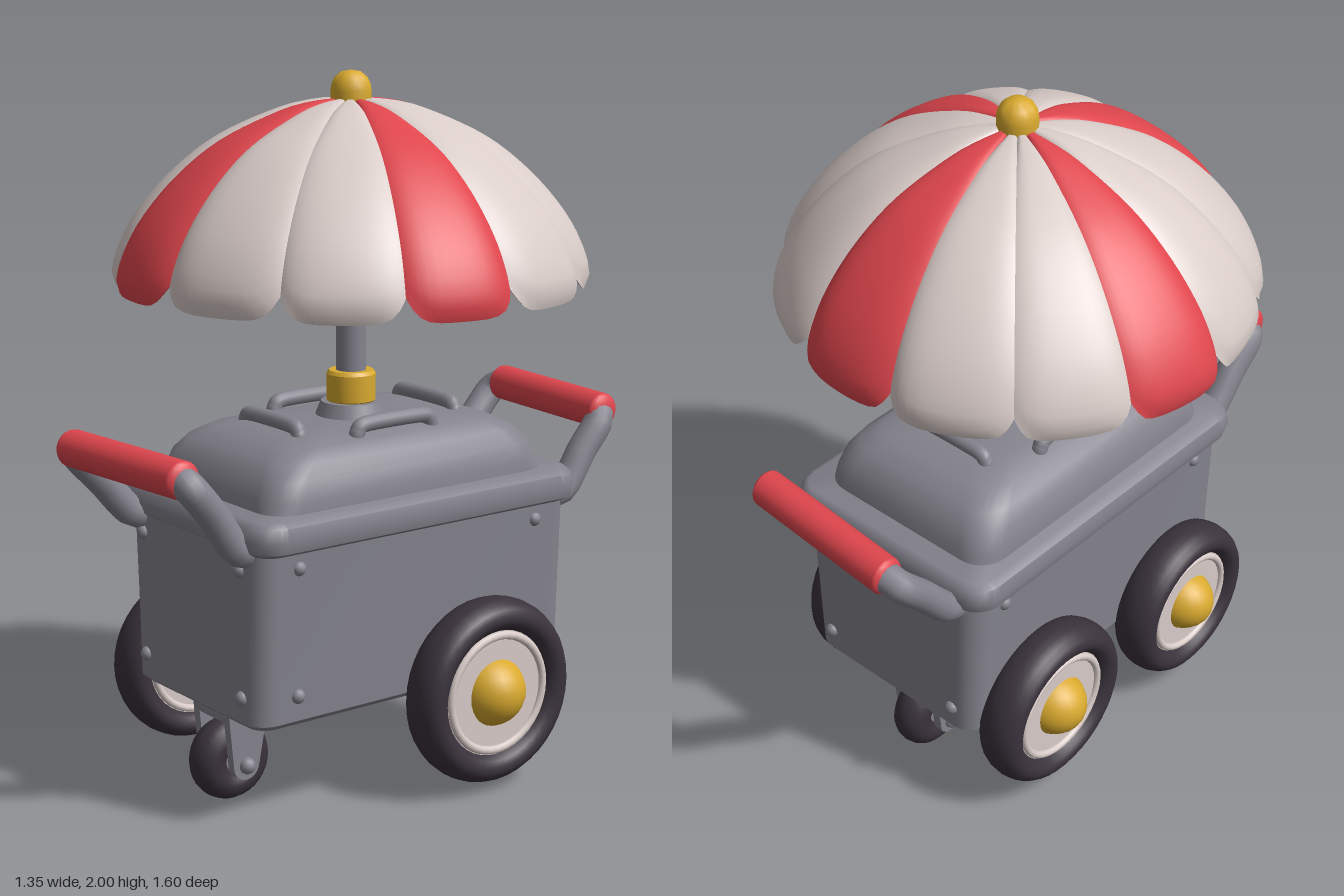
import * as THREE from 'three';
import { toCreasedNormals } from 'three/addons/utils/BufferGeometryUtils.js';
import { ParametricGeometry } from 'three/addons/geometries/ParametricGeometry.js';

const paint = (name, color) => {
  const m = new THREE.MeshStandardMaterial({ color });
  m.name = name;
  return m;
};

// Closed solid lofted through rounded rectangles [y, halfX, halfZ, cornerRadius]
function loft(sections) {
  const steps = 6, pos = [], idx = [];
  const first = sections[0], last = sections[sections.length - 1];
  const rings = [[first[0], 0.002, 0.002, 0.001], ...sections, [last[0], 0.002, 0.002, 0.001]];
  for (const [y, hx, hz, r] of rings) {
    for (let q = 0; q < 4; q++) {
      const sx = q === 0 || q === 3 ? 1 : -1, sz = q < 2 ? 1 : -1;
      for (let k = 0; k <= steps; k++) {
        const a = (q + k / steps) * Math.PI / 2;
        pos.push(sx * (hx - r) + r * Math.cos(a), y, sz * (hz - r) + r * Math.sin(a));
      }
    }
  }
  const n = 4 * (steps + 1);
  for (let i = 0; i < rings.length - 1; i++) {
    for (let j = 0; j < n; j++) {
      const k = (j + 1) % n, a = i * n + j, b = i * n + k, c = a + n, d = b + n;
      idx.push(a, c, b, b, c, d);
    }
  }
  const g = new THREE.BufferGeometry();
  g.setAttribute('position', new THREE.Float32BufferAttribute(pos, 3));
  g.setIndex(idx);
  return toCreasedNormals(g, 0.7);
}

export function createModel() {
  const root = new THREE.Group();
  root.name = 'umbrellaCart';
  const grey = paint('grey metal', 0x85848e);
  const red = paint('red', 0xdf464d);
  const white = paint('warm white', 0xd9ccc8);
  const gold = paint('gold', 0xd9aa2f);
  const rubber = paint('dark rubber', 0x3a323c);
  const lining = paint('mauve lining', 0xac8c95);

  const add = (parent, name, geo, mat, x = 0, y = 0, z = 0) => {
    const m = new THREE.Mesh(geo, mat);
    m.name = name;
    m.position.set(x, y, z);
    parent.add(m);
    return m;
  };
  const group = (name, x = 0, y = 0, z = 0) => {
    const g = new THREE.Group();
    g.name = name;
    g.position.set(x, y, z);
    root.add(g);
    return g;
  };
  const tube = (pts, r) => new THREE.TubeGeometry(
    new THREE.CatmullRomCurve3(pts.map(p => new THREE.Vector3(...p)), false, 'catmullrom', 0.4), 48, r, 14);
  const lathe = pts => toCreasedNormals(new THREE.LatheGeometry(pts.map(p => new THREE.Vector2(...p)), 28), 0.6);

  // Box, rim and domed lid
  add(root, 'body', loft([
    [0.3, 0.293, 0.522, 0.05], [0.315, 0.308, 0.54, 0.065], [0.55, 0.315, 0.542, 0.068], [0.8, 0.323, 0.545, 0.07]]), grey);
  add(root, 'rim', loft([
    [0.785, 0.335, 0.535, 0.06], [0.797, 0.357, 0.553, 0.08], [0.83, 0.366, 0.562, 0.085],
    [0.865, 0.357, 0.553, 0.08], [0.88, 0.335, 0.535, 0.06]]), grey);
  add(root, 'lid', loft([
    [0.87, 0.305, 0.478, 0.08], [0.91, 0.303, 0.47, 0.09], [0.96, 0.29, 0.45, 0.09], [1.0, 0.265, 0.415, 0.09],
    [1.03, 0.225, 0.36, 0.09], [1.047, 0.16, 0.28, 0.08]]), grey);

  // Rivets near the panel corners
  const rivet = new THREE.SphereGeometry(0.021, 12, 8);
  for (const s of [-1, 1]) for (const t of [-1, 1]) for (const y of [0.385, 0.74]) {
    const out = (y - 0.3) * 0.02;
    add(root, 'endRivet', rivet, grey, t * 0.235, y, s * (0.537 + out * 0.4));
    add(root, 'sideRivet', rivet, grey, s * (0.306 + out), y, t * 0.41);
  }

  // Four small lid handles
  for (let i = 0; i < 4; i++) {
    const d = i % 2 === 0 ? 0.195 : 0.27;
    const h = add(root, 'lidHandle', tube([
      [-0.13, 1.01, d], [-0.125, 1.045, d], [-0.095, 1.064, d], [0.095, 1.064, d], [0.125, 1.045, d], [0.13, 1.01, d]], 0.022), grey);
    h.rotation.y = (i + 1) * Math.PI / 2;
  }

  // Push handles at both ends, each slightly skewed
  for (const s of [1, -1]) {
    const g = group(s > 0 ? 'frontHandle' : 'backHandle');
    const L = -0.255, R = s > 0 ? 0.25 : 0.27, top = 1.005;
    add(g, 'handleFrame', tube([
      [L, 0.79, s * 0.48], [L, 0.8, s * 0.57], [L, 0.9, s * 0.66], [L, 0.98, s * 0.735], [L + 0.05, top, s * 0.75],
      [0, top, s * 0.73], [R - 0.05, top, s * 0.71], [R, 0.98, s * 0.695], [R, 0.9, s * 0.63],
      [R, 0.8, s * 0.56], [R, 0.79, s * 0.48]], 0.043), grey);
    const ends = s > 0 ? [-0.25, 0.225] : [-0.215, 0.265];
    add(g, 'grip', new THREE.TubeGeometry(new THREE.LineCurve3(
      new THREE.Vector3(ends[0], top, s * 0.75), new THREE.Vector3(ends[1], top, s * 0.71)), 1, 0.052, 20), red);
    ends.forEach((x, i) => {
      add(g, 'gripEnd', new THREE.SphereGeometry(0.052, 16, 12), red, x, top, s * (0.75 - 0.04 * i)).scale.x = 0.45;
    });
  }

  // Large wheels: one on the left, two on the right
  for (const [x, y, z, r] of [[0.37, 0.293, -0.2, 0.267], [-0.365, 0.302, 0.312, 0.243], [-0.365, 0.305, -0.272, 0.252]]) {
    const g = group('wheel', x, y, z);
    g.rotation.y = Math.PI / 2;
    g.scale.set(r / 0.265, r / 0.265, 1);
    add(g, 'tire', new THREE.TorusGeometry(0.217, 0.048, 18, 40), rubber).scale.z = 1.46;
    add(g, 'rimDisc', new THREE.CylinderGeometry(0.188, 0.188, 0.084, 36), white).rotation.x = Math.PI / 2;
    for (const s of [-1, 1])
      add(g, 'rimRing', new THREE.TorusGeometry(0.165, 0.012, 10, 36), white, 0, 0, s * 0.042);
    add(g, 'hub', new THREE.SphereGeometry(0.102, 24, 16), gold).scale.z = 1.12;
  }

  // Casters under the front and back
  const side = new THREE.Shape();
  side.moveTo(-0.075, 0.165);
  side.lineTo(-0.042, -0.005);
  side.absarc(0, 0, 0.042, Math.PI, Math.PI * 2, false);
  side.lineTo(0.058, 0.165);
  const plate = new THREE.ExtrudeGeometry(side, { depth: 0.028, bevelEnabled: false, curveSegments: 10 });
  plate.translate(0, 0, -0.014);
  plate.rotateY(-Math.PI / 2);
  for (const s of [1, -1]) {
    const g = group(s > 0 ? 'frontCaster' : 'backCaster', 0, 0.125, s > 0 ? 0.427 : -0.392);
    if (s < 0) g.rotation.y = Math.PI;
    const t = add(g, 'casterTire', new THREE.TorusGeometry(0.07, 0.05, 16, 32), rubber);
    t.rotation.y = Math.PI / 2;
    t.scale.z = 1.15;
    add(g, 'casterHub', new THREE.CylinderGeometry(0.04, 0.04, 0.08, 20), grey).rotation.z = Math.PI / 2;
    for (const x of [-0.075, 0.075]) {
      add(g, 'forkSide', plate, grey, x);
      add(g, 'axleNut', new THREE.SphereGeometry(0.024, 12, 8), grey, x * 1.22);
    }
    add(g, 'forkTop', loft([[0.13, 0.075, 0.066, 0.02], [0.148, 0.09, 0.07, 0.03], [0.17, 0.075, 0.063, 0.02]]), grey, 0, 0, -0.008);
    add(g, 'casterStem', new THREE.CylinderGeometry(0.04, 0.04, 0.04, 18), grey, 0, 0.175, 0);
  }

  // Pole with collars
  add(root, 'pole', new THREE.CylinderGeometry(0.042, 0.042, 0.87, 24), grey, 0, 1.465, 0);
  add(root, 'poleBase', new THREE.CylinderGeometry(0.085, 0.105, 0.05, 28), grey, 0, 1.06, 0);
  add(root, 'lowerCollar', lathe([[0.04, 1.08], [0.062, 1.08], [0.069, 1.088], [0.069, 1.162], [0.062, 1.172], [0.04, 1.172]]), gold);
  add(root, 'upperCollar', new THREE.CylinderGeometry(0.047, 0.047, 0.26, 24), gold, 0, 1.715, 0);

  // Rounded finial
  add(root, 'finial', lathe([[0.04, 1.9], [0.055, 1.91], [0.056, 1.945], [0.053, 1.963], [0.044, 1.981], [0.027, 1.995], [0, 2]]), gold);

  // Canopy of twelve uneven, puffed panels: seam angles, seam radii and mid-panel radii
  const seams = [-2, 25, 53, 84, 115.5, 149, 176.5, 203, 229, 258, 288, 326, 358];
  const seamR = [0.65, 0.66, 0.65, 0.645, 0.63, 0.635, 0.65, 0.665, 0.665, 0.645, 0.625, 0.625, 0.65];
  const midR = [0.68, 0.672, 0.665, 0.665, 0.66, 0.662, 0.68, 0.68, 0.675, 0.66, 0.655, 0.665];
  const rimR = 0.674;
  const profile = new THREE.SplineCurve([[0.02, 1.925], [0.1, 1.92], [0.2, 1.897], [0.37, 1.822], [0.5, 1.725], [0.6, 1.615],
    [0.655, 1.52], [rimR, 1.45], [0.662, 1.415]].map(p => new THREE.Vector2(...p)));
  const canopy = group('canopy');
  const point = new THREE.Vector2();
  const panel = (i, flip, vOf, insetOf, spread = 1) => {
    const mid = THREE.MathUtils.degToRad((seams[i] + seams[i + 1]) / 2);
    const half = THREE.MathUtils.degToRad((seams[i + 1] - seams[i]) / 2);
    const g = new ParametricGeometry((u, v, out) => {
      const s = Math.sin((u - 0.5) * Math.PI) * flip * spread;
      const t = vOf(v), inset = insetOf(v);
      profile.getPointAt(t * (1 - 0.085 * t * Math.pow(Math.abs(s), 5)), point);
      const a = mid + s * half;
      const edge = THREE.MathUtils.lerp(midR[i], seamR[s > 0 ? i + 1 : i], s ** 4) / rimR;
      const k = 1 + (edge - 1) * t - inset;
      out.set(Math.cos(a) * point.x * k, point.y - inset * 0.6 * (1 - t) - 0.008 * s ** 4, Math.sin(a) * point.x * k);
    }, 14, 24);
    g.computeVertexNormals();
    return g;
  };
  for (let i = 0; i < 12; i++) {
    const mat = i % 3 === 0 ? red : white;
    add(canopy, 'panel', panel(i, 1, v => v, () => 0), mat);
    // Turned-in hem, then the lining
    add(canopy, 'hem', panel(i, -1, v => 0.92 + 0.08 * v, v => 0.045 * Math.sqrt(1 - v)), mat);
    add(canopy, 'lining', panel(i, -1, v => 0.93 * v, () => 0.045), lining);
    // Red patches inside the red panels
    if (i % 3 === 0) add(canopy, 'redPatch', panel(i, -1, v => 0.58 + 0.13 * v, () => 0.051, 0.4), red);
  }
  for (const i of [2, 8]) add(canopy, 'goldPatch', panel(i, -1, v => 0.83 + 0.07 * v, () => 0.051, 0.25), gold);
  return root;
}
